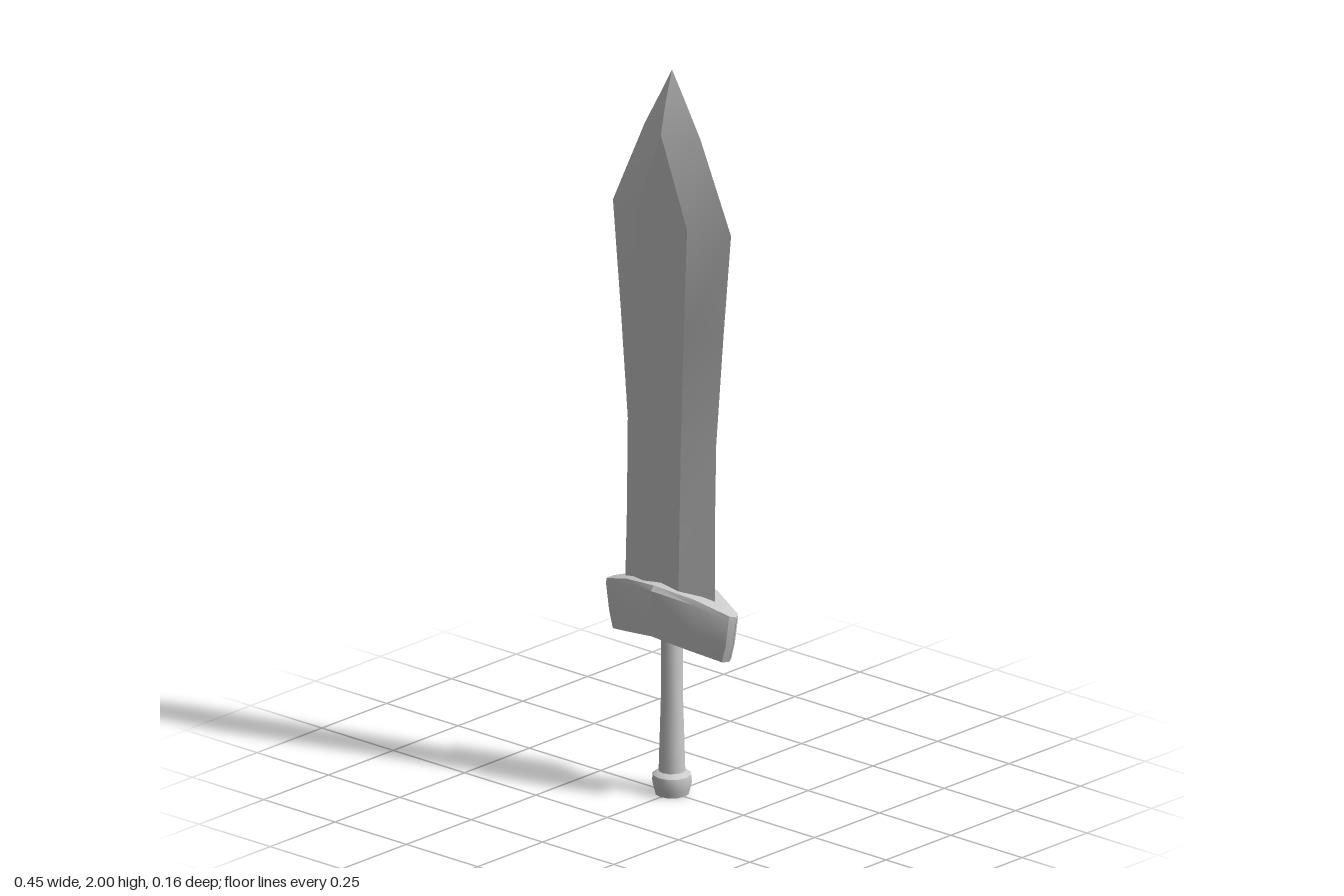
import * as THREE from 'three';
import { toCreasedNormals } from 'three/addons/utils/BufferGeometryUtils.js';

const material = new THREE.MeshStandardMaterial({ color: 0xcccccc });

// Skins a list of rings (counter-clockwise seen from the end of the axis) and caps both ends.
function loft(rings, crease) {
  const n = rings[0].length;
  const index = [];
  for (let i = 0; i < rings.length - 1; i++) {
    for (let j = 0; j < n; j++) {
      const k = (j + 1) % n;
      const a = i * n + j, b = i * n + k;
      index.push(a, b, b + n, a, b + n, a + n);
    }
  }
  const last = (rings.length - 1) * n;
  for (let j = 1; j < n - 1; j++) {
    index.push(0, j + 1, j, last, last + j, last + j + 1);
  }
  const geometry = new THREE.BufferGeometry();
  geometry.setAttribute('position', new THREE.Float32BufferAttribute(rings.flat(2), 3));
  geometry.setIndex(index);
  return toCreasedNormals(geometry, crease);
}

function part(name, geometry) {
  const mesh = new THREE.Mesh(geometry, material);
  mesh.name = name;
  return mesh;
}

// Leaf-shaped blade: hexagonal section with a flat middle and two bevelled edges
function makeBlade() {
  // y, left edge, right edge, half width of the flat, half thickness
  const rows = [
    [0.5, 0.165, 0.15, 0.06, 0.043],
    [0.75, 0.158, 0.15, 0.065, 0.043],
    [1.0, 0.155, 0.155, 0.07, 0.043],
    [1.3, 0.18, 0.18, 0.08, 0.043],
    [1.59, 0.207, 0.207, 0.092, 0.043],
    [1.83, 0.095, 0.1, 0, 0.043],
    [1.92, 0.044, 0.048, 0, 0.024],
    [2.0, 0, 0, 0, 0],
  ];
  const rings = rows.map(([y, l, r, f, t]) => [
    [r, y, 0], [f, y, -t], [-f, y, -t], [-l, y, 0], [-f, y, t], [f, y, t],
  ]);
  return part('blade', loft(rings, 0.3));
}

// Crossguard: diamond in plan, drooping towards both ends, bevelled along the top
function makeGuard() {
  // x at top, x at bottom, half depth, bottom y, top y
  const half = [
    [0, 0, 0.081, 0.455, 0.593],
    [0.12, 0.108, 0.051, 0.433, 0.575],
    [0.215, 0.191, 0.018, 0.413, 0.545],
    [0.225, 0.2, 0.001, 0.411, 0.541],
  ];
  const mirrored = half.slice(1).reverse().map(([a, b, ...rest]) => [-a, -b, ...rest]);
  const rings = [...mirrored, ...half].map(([xt, xb, d, y0, y1]) => {
    const inner = d * 0.88;
    const y2 = y1 - 0.013;
    const ym = y0 + (y2 - y0) * 0.4;
    const xm = xb + (xt - xb) * 0.55;
    return [
      [xt, y1, -inner], [xt, y1, inner], [xt, y2, d], [xm, ym, d],
      [xb, y0, d], [xb, y0, -d], [xm, ym, -d], [xt, y2, -d],
    ];
  });
  return part('crossguard', loft(rings, 0.5));
}

function turned(name, profile) {
  const points = profile.map(([r, y]) => new THREE.Vector2(r, y));
  return part(name, toCreasedNormals(new THREE.LatheGeometry(points, 12), 0.65));
}

export function createModel() {
  const sword = new THREE.Group();
  sword.name = 'sword';
  sword.add(
    makeBlade(),
    makeGuard(),
    // Grip flaring slightly towards the pommel
    turned('grip', [[0.036, 0.05], [0.033, 0.15], [0.029, 0.28], [0.029, 0.5]]),
    turned('pommel', [[0, 0], [0.044, 0], [0.048, 0.015], [0.053, 0.035], [0.051, 0.054], [0.036, 0.064], [0, 0.064]]),
  );
  return sword;
}
